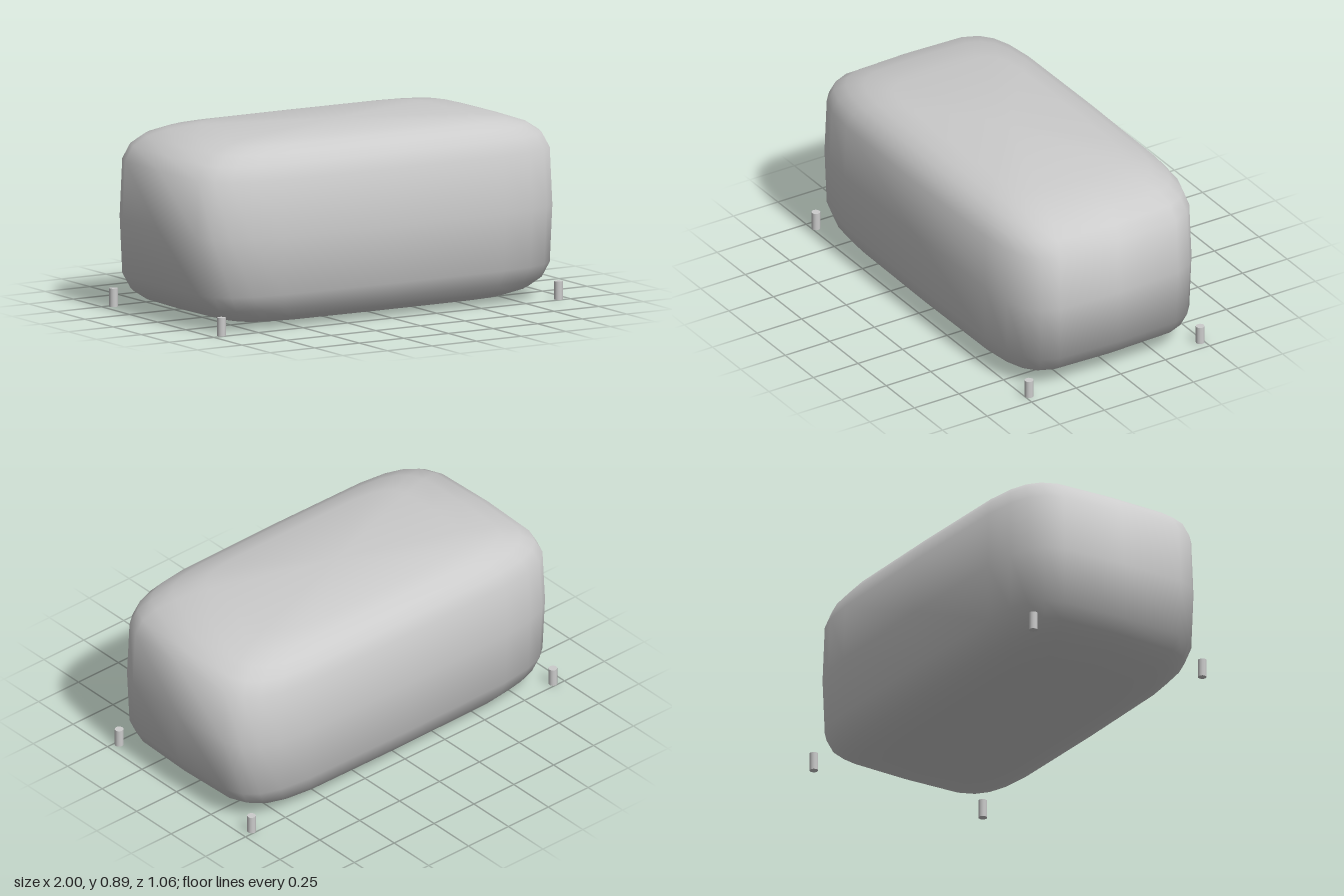
import * as THREE from 'three';

const material = new THREE.MeshStandardMaterial({ color: 0xcccccc });

// Squares off a unit sphere into a pillow-like box, keeping its soft round normals
function pillowGeometry(halfX, halfY, halfZ, exponent) {
  const geometry = new THREE.SphereGeometry(1, 24, 12);
  const position = geometry.attributes.position;
  const square = (c) => (Math.abs(c) < 1e-6 ? 0 : Math.sign(c) * Math.abs(c) ** exponent);
  for (let i = 0; i < position.count; i++) {
    position.setXYZ(i, square(position.getX(i)), square(position.getY(i)), square(position.getZ(i)));
  }
  return geometry.scale(halfX, halfY, halfZ);
}

export function createModel() {
  const model = new THREE.Group();
  model.name = 'pouf';

  // Cushioned body
  const body = new THREE.Mesh(pillowGeometry(1, 0.443, 0.53, 0.35), material);
  body.name = 'cushionBody';
  body.position.y = 0.448;
  model.add(body);

  // Four short peg legs just outside the rounded corners
  const legHeight = 0.088;
  const legGeometry = new THREE.CylinderGeometry(0.021, 0.021, legHeight, 12);
  for (const x of [-1, 1]) {
    for (const z of [-1, 1]) {
      const leg = new THREE.Mesh(legGeometry, material);
      leg.name = `${z > 0 ? 'front' : 'back'}${x > 0 ? 'Left' : 'Right'}Leg`;
      leg.position.set(x * 0.945, legHeight / 2, z * 0.48);
      model.add(leg);
    }
  }
  return model;
}
